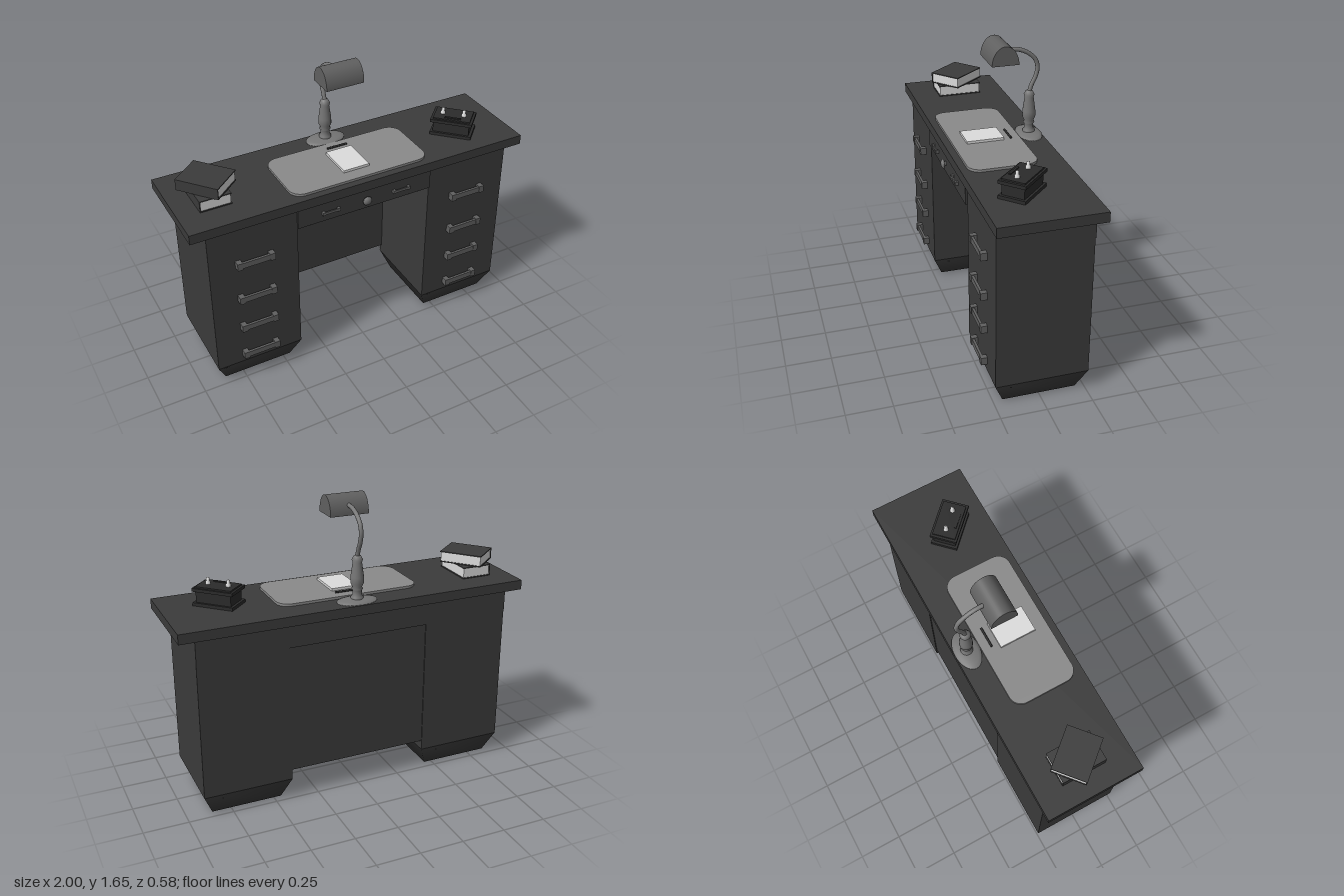
import * as THREE from 'three';

const mat = (name, color) => {
  const m = new THREE.MeshStandardMaterial({ color, side: THREE.DoubleSide });
  m.name = name;
  return m;
};

export function createModel() {
  const desk = new THREE.Group();
  desk.name = 'desk';
  const wood = mat('darkWood', 0x3b3b3b);
  const metal = mat('handleMetal', 0x606060);
  const lampMetal = mat('lampMetal', 0x767676);
  const felt = mat('matGrey', 0x8a8a8a);
  const paper = mat('paper', 0xdcdcdc);
  const black = mat('blackEnamel', 0x2b2b2b);

  const add = (parent, name, geo, material, x = 0, y = 0, z = 0) => {
    const m = new THREE.Mesh(geo, material);
    m.name = name;
    m.position.set(x, y, z);
    parent.add(m);
    return m;
  };
  // Box given by its minimum and maximum corners
  const box = (parent, name, material, x0, x1, y0, y1, z0, z1) =>
    add(parent, name, new THREE.BoxGeometry(x1 - x0, y1 - y0, z1 - z0), material,
      (x0 + x1) / 2, (y0 + y1) / 2, (z0 + z1) / 2);
  const group = (parent, name, x = 0, y = 0, z = 0, turn = 0) => {
    const g = new THREE.Group();
    g.name = name;
    g.position.set(x, y, z);
    g.rotation.y = turn;
    parent.add(g);
    return g;
  };
  const v2 = (pts) => pts.map(([x, y]) => new THREE.Vector2(x, y));

  // Desk body
  box(desk, 'deskTop', wood, -1, 1, 1.045, 1.1, -0.285, 0.275);
  box(desk, 'apron', wood, -0.91, 0.91, 0.915, 1.045, -0.259, 0.25);
  box(desk, 'backPanel', wood, -0.405, 0.405, 0.18, 0.915, -0.25, -0.235);

  // Bar handle on two posts
  const handle = (parent, x, y, z, w, h, d) => {
    const g = group(parent, 'handle', x, y, z);
    box(g, 'bar', metal, -w / 2, w / 2, -h * 0.4, h * 0.4, d * 0.5, d * 0.9);
    for (const s of [-1, 1]) {
      const post = add(g, 'post', new THREE.BoxGeometry(w * 0.14, h, d), metal);
      post.position.set(s * w * 0.43, 0, d / 2);
    }
  };

  // Pedestals with tapered feet and four handles each
  for (const s of [-1, 1]) {
    const p = group(desk, s > 0 ? 'leftPedestal' : 'rightPedestal', s * 0.6575);
    box(p, 'cabinet', wood, -0.2525, 0.2525, 0.125, 0.915, -0.255, 0.25);
    const foot = add(p, 'taperedFoot', new THREE.LatheGeometry(
      v2([[0, 0], [0.2 * Math.SQRT2, 0], [0.2525 * Math.SQRT2, 0.125]]), 4, Math.PI / 4), wood);
    foot.position.z = -0.0025;
    for (const y of [0.815, 0.585, 0.387, 0.19]) handle(p, 0, y, 0.25, 0.215, 0.042, 0.035);
  }

  // Centre drawer with two pulls and a round knob
  const drawer = group(desk, 'centreDrawer');
  box(drawer, 'drawerFront', wood, -0.405, 0.405, 0.925, 1.035, 0.25, 0.262);
  for (const s of [-1, 1]) handle(drawer, s * 0.215, 0.98, 0.262, 0.105, 0.018, 0.018);
  const knob = add(drawer, 'knob', new THREE.LatheGeometry(
    v2([[0.012, 0], [0.012, 0.008], [0.026, 0.012], [0.026, 0.02], [0.012, 0.028], [0, 0.028]]), 12),
  lampMetal, 0, 0.98, 0.262);
  knob.rotation.x = Math.PI / 2;

  // Rounded desk mat, paper pad and pen
  const w = 0.41, d = 0.19, r = 0.07;
  const outline = new THREE.Shape();
  outline.absarc(w - r, d - r, r, 0, Math.PI / 2);
  outline.absarc(r - w, d - r, r, Math.PI / 2, Math.PI);
  outline.absarc(r - w, r - d, r, Math.PI, Math.PI * 1.5);
  outline.absarc(w - r, r - d, r, Math.PI * 1.5, Math.PI * 2);
  const deskMat = add(desk, 'deskMat', new THREE.ExtrudeGeometry(outline,
    { depth: 0.014, bevelEnabled: false, curveSegments: 8 }), felt, 0, 1.1, 0.045);
  deskMat.rotation.x = -Math.PI / 2;
  box(desk, 'paperPad', paper, -0.08, 0.075, 1.114, 1.128, -0.05, 0.16);
  const pen = add(desk, 'pen', new THREE.CylinderGeometry(0.006, 0.006, 0.12, 8), black, 0.01, 1.12, -0.09);
  pen.rotation.z = Math.PI / 2;

  // Lamp: oval base, turned stem, curved neck, half-round shade
  const lamp = group(desk, 'lamp', 0, 1.1, -0.215);
  const base = add(lamp, 'lampBase', new THREE.LatheGeometry(
    v2([[0, 0], [0.115, 0], [0.115, 0.008], [0.09, 0.014], [0.05, 0.02], [0, 0.022]]), 32), lampMetal);
  base.scale.z = 0.61;
  add(lamp, 'lampStem', new THREE.LatheGeometry(
    v2([[0.034, 0.015], [0.034, 0.03], [0.025, 0.038], [0.025, 0.065], [0.032, 0.075], [0.025, 0.083],
      [0.036, 0.105], [0.036, 0.14], [0.025, 0.22], [0.03, 0.235], [0.02, 0.255], [0, 0.262]]), 16), lampMetal);
  const neck = new THREE.CatmullRomCurve3([[0.25, 0], [0.29, -0.013], [0.34, -0.036], [0.39, -0.045],
    [0.435, -0.03], [0.475, 0.015], [0.497, 0.07], [0.5, 0.12]].map(([y, z]) => new THREE.Vector3(0, y, z)));
  add(lamp, 'lampNeck', new THREE.TubeGeometry(neck, 28, 0.012, 10), lampMetal);

  const shadeShape = new THREE.Shape();
  shadeShape.absellipse(0, 0, 0.075, 0.105, 0, Math.PI, false);
  const shade = group(lamp, 'shade', 0, 0.448, 0.17, Math.PI / 2);
  // Curved cover along the lamp's width, closed at both ends
  const cover = new THREE.CylinderGeometry(0.075, 0.075, 0.22, 24, 1, true, -Math.PI / 2, Math.PI);
  cover.rotateX(-Math.PI / 2);
  cover.scale(1, 0.105 / 0.075, 1);
  add(shade, 'shadeCover', cover, metal);
  for (const s of [-1, 1]) {
    add(shade, 'shadeEnd', new THREE.ShapeGeometry(shadeShape, 24), metal, 0, 0, s * 0.11);
    box(shade, 'shadeRail', metal, s * 0.03 - 0.008, s * 0.03 + 0.008, 0.01, 0.025, -0.108, 0.108);
  }

  // Books: pages between covers, spine on the -x side
  const book = (name, x, y, z, turn, bw, bd, h, cover) => {
    const g = group(desk, name, x, y, z, turn);
    const t = 0.006;
    box(g, 'pages', paper, -bw / 2 + t, bw / 2 - 0.004, t, h - t, -bd / 2 + 0.004, bd / 2 - 0.004);
    box(g, 'bottomCover', cover, -bw / 2, bw / 2, 0, t, -bd / 2, bd / 2);
    box(g, 'topCover', cover, -bw / 2, bw / 2, h - t, h, -bd / 2, bd / 2);
    box(g, 'spine', cover, -bw / 2, -bw / 2 + t, t, h - t, -bd / 2, bd / 2);
  };
  book('lowerBook', -0.7925, 1.1, -0.008, 0, 0.175, 0.255, 0.066, wood);
  book('upperBook', -0.792, 1.166, -0.008, 0.70, 0.195, 0.245, 0.064, wood);

  // Waisted desk box with two pegs
  const caddy = group(desk, 'deskBox', 0.685, 1.1, 0.047, -Math.PI / 4);
  const tier = (name, l, dd, y0, y1) => box(caddy, name, black, -l / 2, l / 2, y0, y1, -dd / 2, dd / 2);
  tier('boxFoot', 0.235, 0.15, 0, 0.018);
  tier('boxBody', 0.205, 0.125, 0.018, 0.08);
  tier('boxRim', 0.237, 0.152, 0.08, 0.098);
  tier('boxLid', 0.21, 0.13, 0.098, 0.106);
  box(caddy, 'boxSlot', black, -0.04, 0.05, 0.106, 0.112, 0.04, 0.052);
  for (const s of [-1, 1]) {
    add(caddy, 'peg', new THREE.LatheGeometry(
      v2([[0.014, 0], [0.014, 0.012], [0.009, 0.016], [0.009, 0.034], [0, 0.038]]), 10),
    paper, s * 0.06, 0.106, 0);
  }
  return desk;
}
